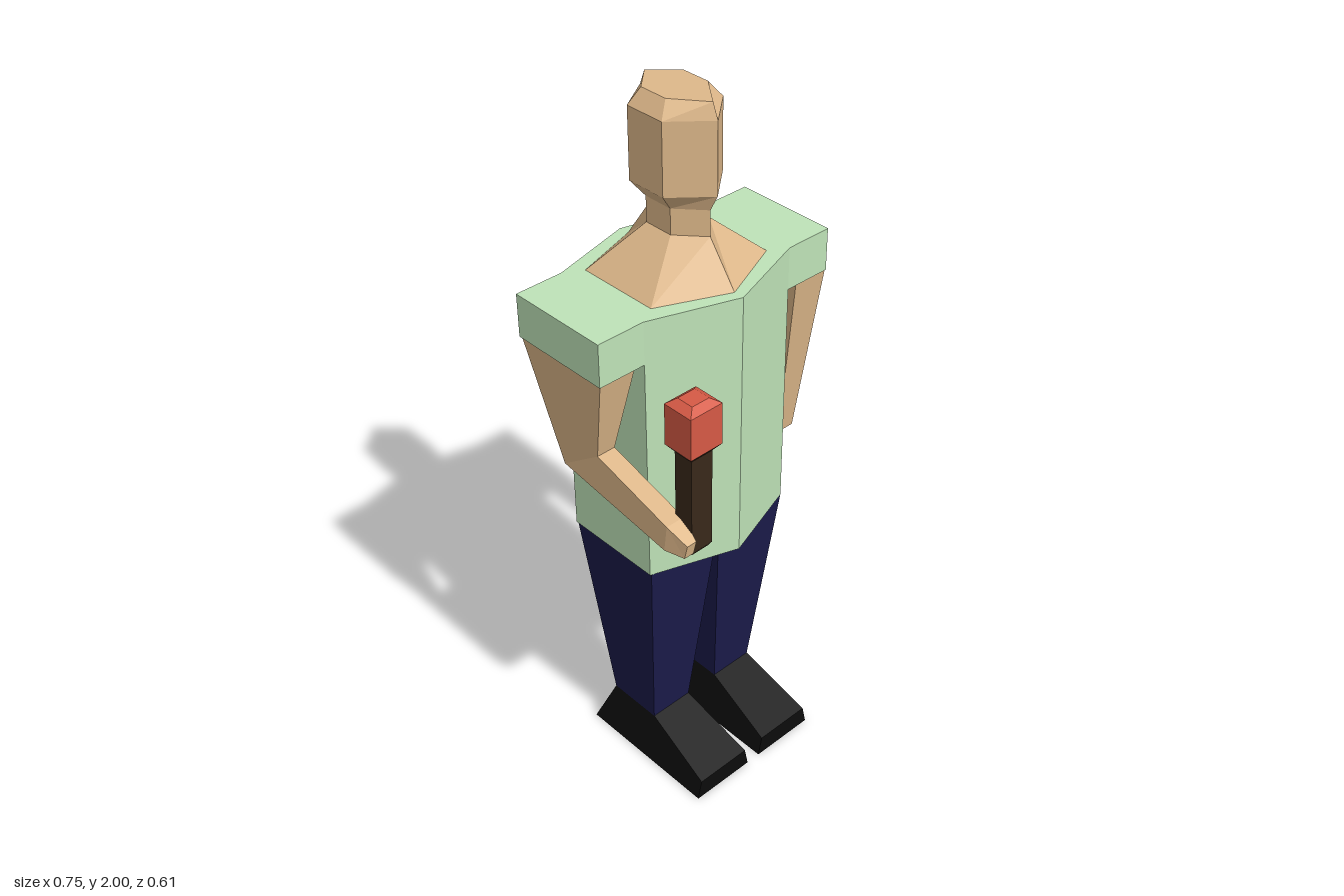
import * as THREE from 'three';

const SKIN = 0xdeb88a, SHIRT = 0xbfe3b8, NAVY = 0x1b1b4b, BLACK = 0x0c0c0c, RED = 0xd65a45, BROWN = 0x38281a;

// Flat-shaded skin over rings of points, listed bottom to top, each counterclockwise from above
function loft(name, color, rings, capStart = true, capEnd = true) {
  const n = rings[0].length, pos = [];
  const tri = (a, b, c) => pos.push(...a, ...b, ...c);
  for (let k = 0; k < rings.length - 1; k++) {
    for (let i = 0; i < n; i++) {
      const j = (i + 1) % n, lo = rings[k], hi = rings[k + 1];
      tri(lo[i], lo[j], hi[j]);
      tri(lo[i], hi[j], hi[i]);
    }
  }
  const first = rings[0], last = rings[rings.length - 1];
  for (let i = 1; i < n - 1; i++) {
    if (capStart) tri(first[0], first[i + 1], first[i]);
    if (capEnd) tri(last[0], last[i], last[i + 1]);
  }
  const geo = new THREE.BufferGeometry();
  geo.setAttribute('position', new THREE.Float32BufferAttribute(pos, 3));
  geo.computeVertexNormals();
  const mesh = new THREE.Mesh(geo, new THREE.MeshStandardMaterial({ color, flatShading: true }));
  mesh.name = name;
  return mesh;
}

// Four-sided ring: x range, front edge (y, z), back edge (y, z), optional x range of the back edge
const quad = (x0, x1, fy, fz, by, bz, b0 = x0, b1 = x1) =>
  [[x0, fy, fz], [x1, fy, fz], [b1, by, bz], [b0, by, bz]];
const level = (x0, x1, y, zf, zb) => quad(x0, x1, y, zf, y, zb);

// Six-sided ring with points at front and back
const hex = (y, w, front, sideFront, sideBack, back) =>
  [[0, y, front], [w, y, sideFront], [w, y, sideBack], [0, y, back], [-w, y, sideBack], [-w, y, sideFront]];

const mirror = rings => rings.map(r => r.map(([x, y, z]) => [-x, y, z]).reverse());

export function createModel() {
  const model = new THREE.Group();
  model.name = 'singer';

  // Shirt body
  model.add(loft('shirtBody', SHIRT, [0.76, 1.54].map(y => hex(y, 0.24, 0.135, 0.052, -0.243, -0.305))));

  // Shoulders, neck and head
  model.add(loft('neckAndHead', SKIN, [
    hex(1.54, 0.19, 0.105, 0.022, -0.213, -0.275),
    hex(1.655, 0.062, 0.022, -0.048, -0.133, -0.195),
    hex(1.725, 0.062, 0.022, -0.048, -0.133, -0.195),
    hex(1.77, 0.095, 0.046, -0.036, -0.152, -0.214),
    hex(1.96, 0.095, 0.046, -0.036, -0.152, -0.214),
    hex(2.0, 0.065, 0.03, -0.055, -0.137, -0.198),
  ]));

  // Paired sleeves, legs and shoes
  const sleeve = [level(0.24, 0.377, 1.42, 0.052, -0.243), level(0.24, 0.377, 1.54, 0.052, -0.243)];
  const leg = [level(0.052, 0.185, 0.145, -0.01, -0.175), level(0.003, 0.237, 0.76, 0.054, -0.24)];
  const shoe = [
    quad(0.034, 0.204, 0.06, 0.207, 0, 0.207, 0.022, 0.217),
    quad(0.052, 0.185, 0.145, -0.01, 0, -0.01, 0.022, 0.217),
    quad(0.052, 0.185, 0.145, -0.175, 0, -0.235, 0.022, 0.217),
  ];
  for (const [side, place] of [['left', r => r], ['right', mirror]]) {
    model.add(loft(side + 'Sleeve', SHIRT, place(sleeve)));
    model.add(loft(side + 'Leg', NAVY, place(leg)));
    model.add(loft(side + 'Shoe', BLACK, place(shoe), true, false));
    // The back of each heel continues the trouser colour
    model.add(loft(side + 'Heel', NAVY, place([shoe[2]]), false, true));
  }

  // Left arm hangs straight down
  const shoulder = level(0.27, 0.375, 1.42, 0.05, -0.235);
  model.add(loft('leftArm', SKIN, [
    level(0.31, 0.339, 0.875, -0.048, -0.145),
    level(0.298, 0.352, 0.905, -0.02, -0.175),
    shoulder,
  ]));

  // Right arm bends at the elbow and reaches forward
  model.add(loft('rightArm', SKIN, mirror([
    quad(0.31, 0.339, 1.075, 0.302, 1.032, 0.292),
    quad(0.298, 0.352, 1.108, 0.245, 1.03, 0.235),
    quad(0.298, 0.352, 1.18, 0.0, 1.085, -0.13),
    shoulder,
  ])));

  // Handheld microphone: square sections about its own axis
  const square = (y, rx, rz) => level(-0.274 - rx, -0.274 + rx, y, 0.255 + rz, 0.255 - rz);
  model.add(loft('microphoneHandle', BROWN, [
    square(1.01, 0.026, 0.021), square(1.022, 0.033, 0.028),
    square(1.3, 0.033, 0.028), square(1.32, 0.049, 0.044),
  ]));
  model.add(loft('microphoneHead', RED, [
    square(1.32, 0.049, 0.044), square(1.435, 0.049, 0.044), square(1.45, 0.026, 0.024),
  ]));

  return model;
}
